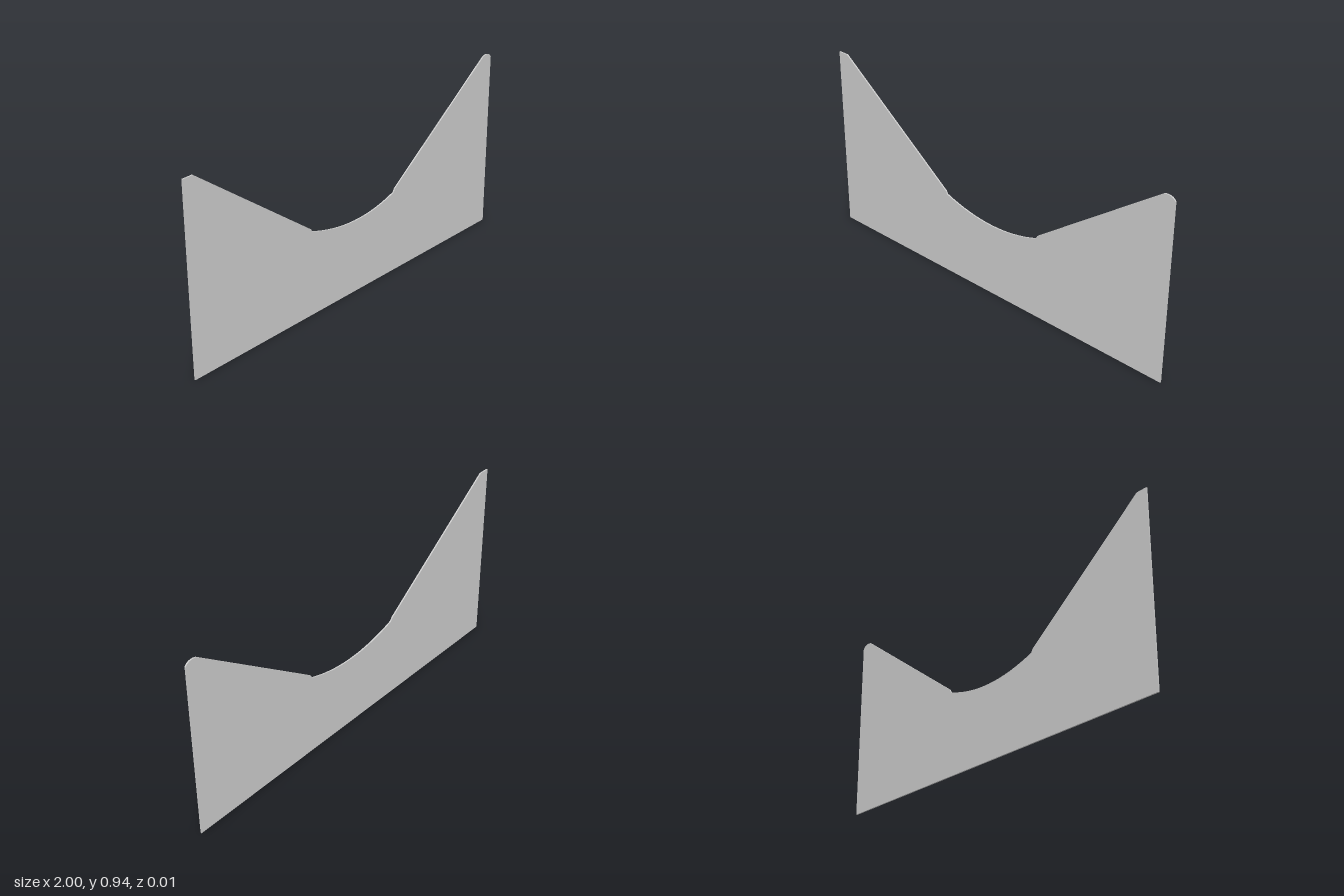
import * as THREE from 'three';

const THICKNESS = 0.007;

export function createModel() {
  const group = new THREE.Group();
  group.name = 'cradlePanel';

  // Outline, counter-clockwise from the lower left corner
  const outline = new THREE.Shape();
  outline.moveTo(-1, 0);
  outline.lineTo(1, 0);
  outline.lineTo(1, 0.905);
  // rounded tip on the left arm
  outline.bezierCurveTo(0.99, 0.922, 0.965, 0.93, 0.94, 0.92);
  // straight slope down to the small step beside the cradle
  outline.lineTo(0.285, 0.438);
  outline.lineTo(0.275, 0.42);
  // shallow curved cradle
  outline.quadraticCurveTo(0.01, 0.322, -0.28, 0.427);
  // small step and slope up to the flat tip of the right arm
  outline.lineTo(-0.288, 0.442);
  outline.lineTo(-0.945, 0.938);
  outline.lineTo(-1, 0.938);
  outline.closePath();

  const geometry = new THREE.ExtrudeGeometry(outline, {
    depth: THICKNESS,
    bevelEnabled: false,
    curveSegments: 16,
  });
  geometry.translate(0, 0, -THICKNESS / 2);

  const panel = new THREE.Mesh(
    geometry,
    new THREE.MeshStandardMaterial({ color: 0xcccccc })
  );
  panel.name = 'panel';
  group.add(panel);
  return group;
}
